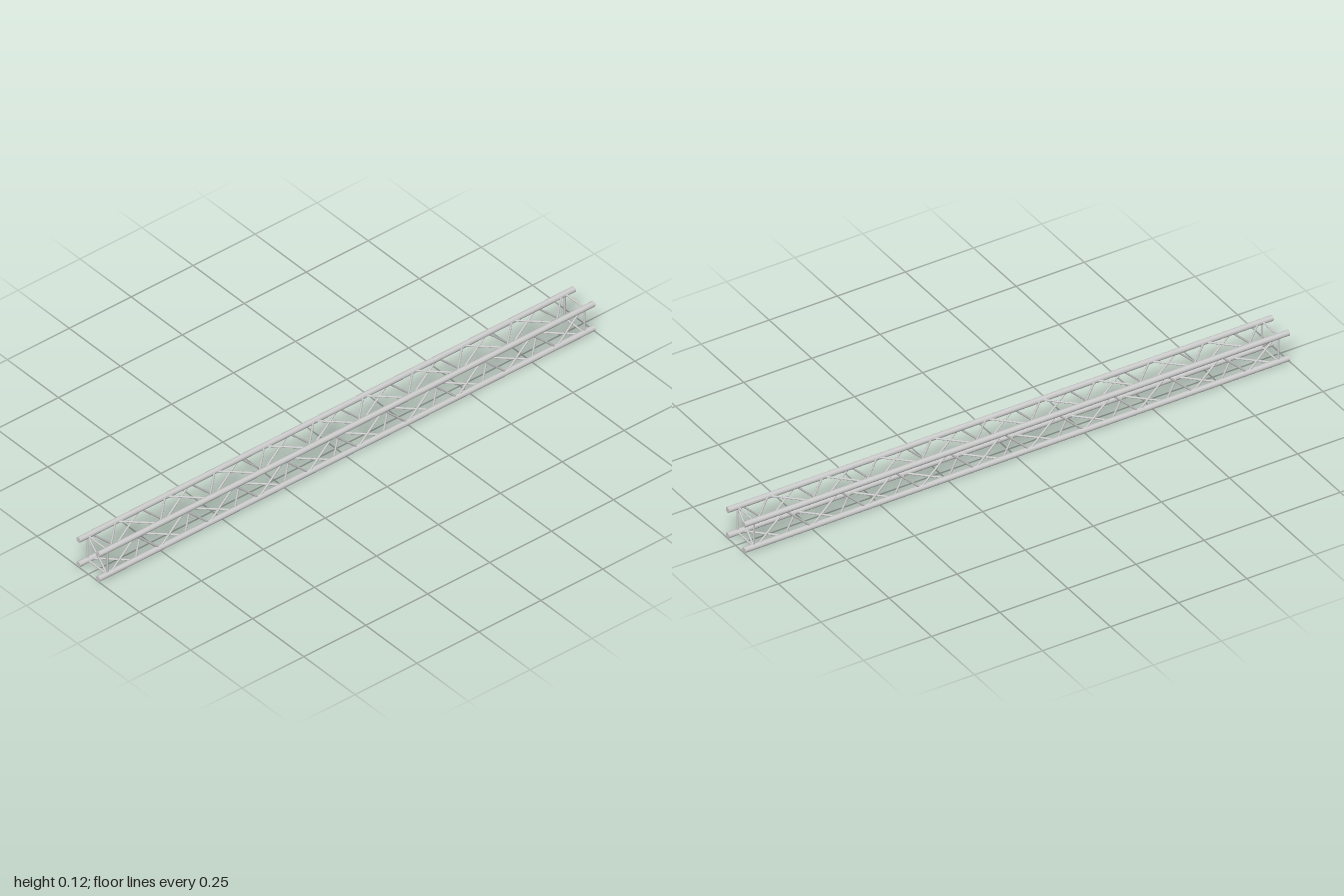
import * as THREE from 'three';

const HALF = 0.048;    // chord offset from the truss axis
const MID = 0.0578;    // axis height
const CHORD_R = 0.0098;
const BRACE_R = 0.0033;
const PANEL = 0.1;
const PANELS = 19;
const END_X = 0.963;

const material = new THREE.MeshStandardMaterial({ color: 0xcccccc });

// Round bar between two points
function bar(name, a, b, radius, sides) {
  const dir = b.clone().sub(a);
  const mesh = new THREE.Mesh(new THREE.CylinderGeometry(radius, radius, dir.length(), sides), material);
  mesh.name = name;
  mesh.position.copy(a).add(b).multiplyScalar(0.5);
  mesh.quaternion.setFromUnitVectors(new THREE.Vector3(0, 1, 0), dir.normalize());
  return mesh;
}

// Corner order: front bottom, front top, back top, back bottom
const corners = [[-1, 1], [1, 1], [1, -1], [-1, -1]];
const at = (corner, x) => {
  const [y, z] = corners[corner % 4];
  return new THREE.Vector3(x, MID + y * HALF, z * HALF);
};

export function createModel() {
  const truss = new THREE.Group();
  truss.name = 'boxTruss';

  const faces = ['front', 'top', 'back', 'bottom'];
  faces.forEach((face, i) => {
    // Long main tube on each corner
    truss.add(bar('chord', at(i, -1), at(i, 1), CHORD_R, 24));

    // Zigzag lacing of one face; opposite faces run in opposite phase
    const lacing = new THREE.Group();
    lacing.name = face + 'Lacing';
    for (let p = 0; p < PANELS; p++) {
      const x = (p - PANELS / 2) * PANEL;
      const from = i + (p % 2);
      const to = i + 1 - (p % 2);
      lacing.add(bar('diagonalBrace', at(from, x), at(to, x + PANEL), BRACE_R, 12));
    }
    truss.add(lacing);
  });

  // Square end frames, each with one cross diagonal
  for (const side of [-1, 1]) {
    const frame = new THREE.Group();
    frame.name = side < 0 ? 'rightEndFrame' : 'leftEndFrame';
    for (let i = 0; i < 4; i++) {
      frame.add(bar('frameBar', at(i, side * END_X), at(i + 1, side * END_X), BRACE_R, 12));
    }
    const start = side < 0 ? 0 : 1;
    frame.add(bar('frameDiagonal', at(start, side * END_X), at(start + 2, side * END_X), BRACE_R, 12));
    truss.add(frame);
  }

  return truss;
}
